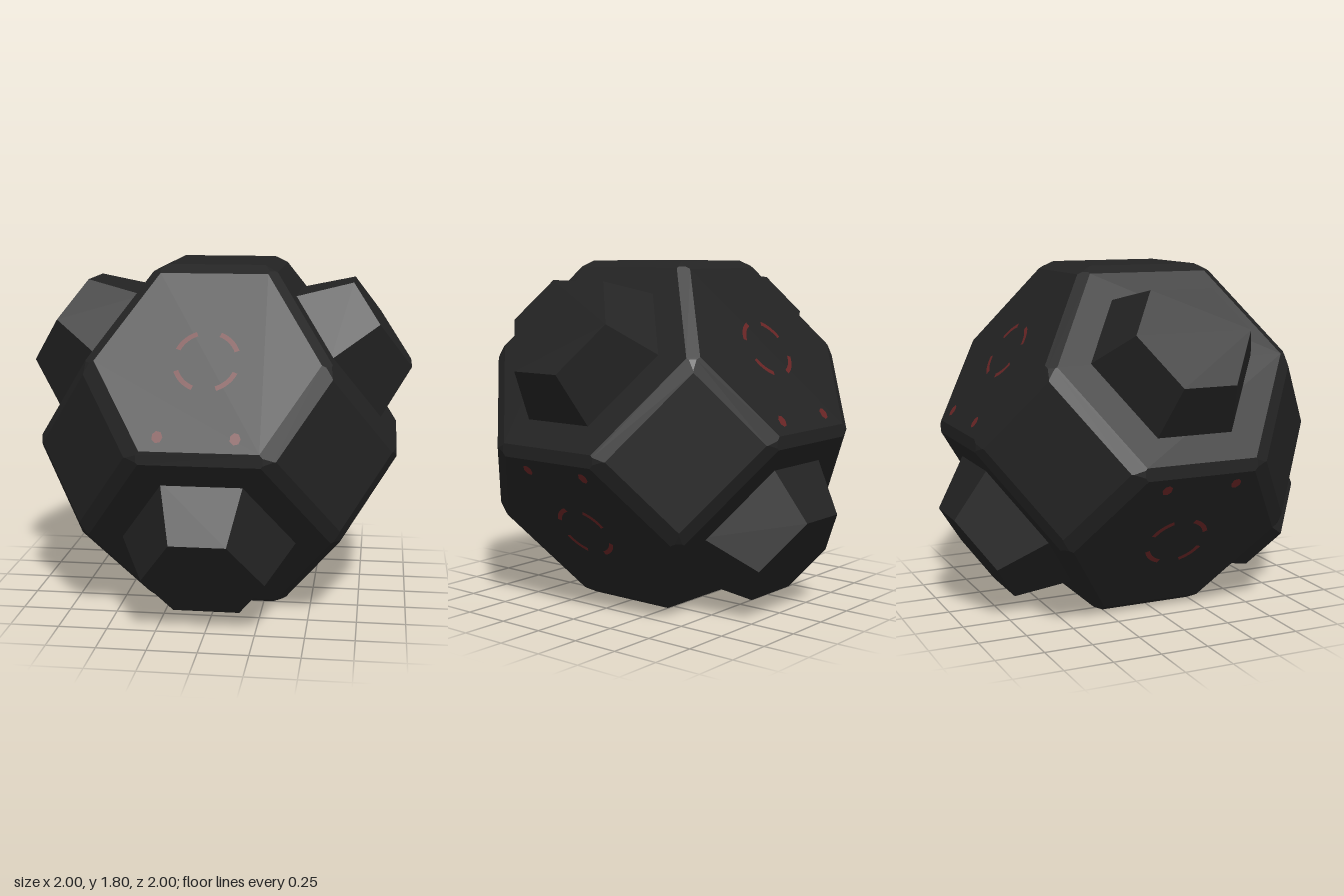
import * as THREE from 'three';

const V = (x, y, z) => new THREE.Vector3(x, y, z);
const plane = (n, d) => ({ n: n.clone().normalize(), d });

// Flat-faced convex solid: the space behind every plane n.p = d
function convexSolid(planes) {
  const pts = [];
  const N = planes.length;
  for (let i = 0; i < N; i++) for (let j = i + 1; j < N; j++) {
    const a = planes[i], b = planes[j];
    const ab = a.n.clone().cross(b.n);
    for (let k = j + 1; k < N; k++) {
      const c = planes[k];
      const det = ab.dot(c.n);
      if (Math.abs(det) < 1e-5) continue;
      const p = b.n.clone().cross(c.n).multiplyScalar(a.d)
        .addScaledVector(c.n.clone().cross(a.n), b.d)
        .addScaledVector(ab, c.d).divideScalar(det);
      if (planes.some(q => q.n.dot(p) > q.d + 1e-5)) continue;
      if (!pts.some(q => q.distanceTo(p) < 1e-4)) pts.push(p);
    }
  }
  const pos = [];
  for (const { n, d } of planes) {
    const face = pts.filter(p => Math.abs(n.dot(p) - d) < 5e-5);
    if (face.length < 3) continue;
    const mid = face.reduce((s, p) => s.add(p), V(0, 0, 0)).divideScalar(face.length);
    const u = face[0].clone().sub(mid).normalize();
    const w = n.clone().cross(u);
    const angle = p => { const r = p.clone().sub(mid); return Math.atan2(r.dot(w), r.dot(u)); };
    face.sort((p, q) => angle(p) - angle(q));
    for (let i = 1; i < face.length - 1; i++) {
      pos.push(...face[0].toArray(), ...face[i].toArray(), ...face[i + 1].toArray());
    }
  }
  const g = new THREE.BufferGeometry();
  g.setAttribute('position', new THREE.Float32BufferAttribute(pos, 3));
  g.computeVertexNormals();
  return g;
}

export function createModel() {
  const casing = new THREE.MeshStandardMaterial({ name: 'charcoal casing', color: 0x232323 });
  const red = new THREE.MeshStandardMaterial({ name: 'dull red marking', color: 0x692525 });
  const LOW = 0.757, HIGH = 0.80, R2 = Math.SQRT2, R3 = Math.sqrt(3);

  const model = new THREE.Group();
  model.name = 'polyhedralBlock';
  const core = new THREE.Group();
  core.name = 'core';
  core.position.y = 0.9;
  model.add(core);

  const add = (parent, geometry, material, name) => {
    const m = new THREE.Mesh(geometry, material);
    m.name = name;
    parent.add(m);
    return m;
  };

  // Main faces: six squares and eight hexagons, half of them set lower for the studs
  const squares = [V(0, 1, 0), V(0, -1, 0)];
  for (const x of [-1, 1]) for (const z of [-1, 1]) squares.push(V(x, 0, z).normalize());
  const hexes = [];
  for (const s of [-1, 1]) for (const y of [-1, 1]) {
    hexes.push({ n: V(s * R2, y, 0).normalize(), studded: y > 0 });
    hexes.push({ n: V(0, y, s * R2).normalize(), studded: y < 0 });
  }
  const planes = [
    ...squares.map(n => plane(n, 0.9)),
    ...hexes.map(h => plane(h.n, h.studded ? LOW : HIGH)),
  ];
  // Bevels along the edges and small cuts at the corners
  for (const s of squares) for (const h of hexes) {
    if (s.dot(h.n) > 0.5) planes.push(plane(s.clone().add(h.n), h.studded ? 0.9135 : 0.935));
  }
  hexes.forEach((a, i) => hexes.slice(i + 1).forEach(b => {
    if (a.n.dot(b.n) < 0.2) return;
    const sum = a.n.clone().add(b.n);
    planes.push(plane(sum, 0.93));
    for (const s of squares) {
      if (s.dot(a.n) > 0.5 && s.dot(b.n) > 0.5) {
        planes.push(plane(s.clone().addScaledVector(sum, R3 / 2), 0.978));
      }
    }
  }));
  add(core, convexSolid(planes), casing, 'bevelledBody');

  // Stud: tapered six-sided block with alternating long and short sides
  const TOP = 1.03, rise = TOP - LOW, flare = 0.435;
  const studPlanes = [plane(V(0, 0, 1), TOP), plane(V(0, 0, -1), -0.74)];
  for (let i = 0; i < 6; i++) {
    const a = Math.PI / 2 + i * Math.PI / 3;
    const d = i % 2 ? 0.274 : 0.2575;
    const n = V(Math.cos(a) * rise, Math.sin(a) * rise, flare * d);
    studPlanes.push(plane(n, (rise * d + flare * d * TOP) / n.length()));
  }
  const studGeometry = convexSolid(studPlanes);

  // Marking pieces
  const arc = new THREE.RingGeometry(0.143, 0.168, 10, 1, 0.36, 0.82);
  const dot = new THREE.CircleGeometry(0.027, 7);

  for (const { n, studded } of hexes) {
    // Local frame: z out of the face, y towards the top or bottom square
    const t = V(0, Math.sign(n.y), 0).addScaledVector(n, -Math.abs(n.y)).normalize();
    const frame = new THREE.Group();
    frame.name = studded ? 'studFace' : 'markedFace';
    frame.quaternion.setFromRotationMatrix(
      new THREE.Matrix4().makeBasis(t.clone().cross(n), t, n));
    core.add(frame);
    if (studded) {
      add(frame, studGeometry, casing, 'stud');
      continue;
    }
    // Broken ring of four arcs
    for (let i = 0; i < 4; i++) {
      const m = add(frame, arc, red, 'ringArc');
      m.position.z = HIGH + 0.003;
      m.rotation.z = i * Math.PI / 2;
    }
    // Pair of small marks near the middle edge
    for (const x of [-0.205, 0.168]) {
      const m = add(frame, dot, red, 'smallMark');
      m.position.set(x, -0.405, HIGH + 0.003);
      m.scale.y = 1.2;
    }
  }
  return model;
}
